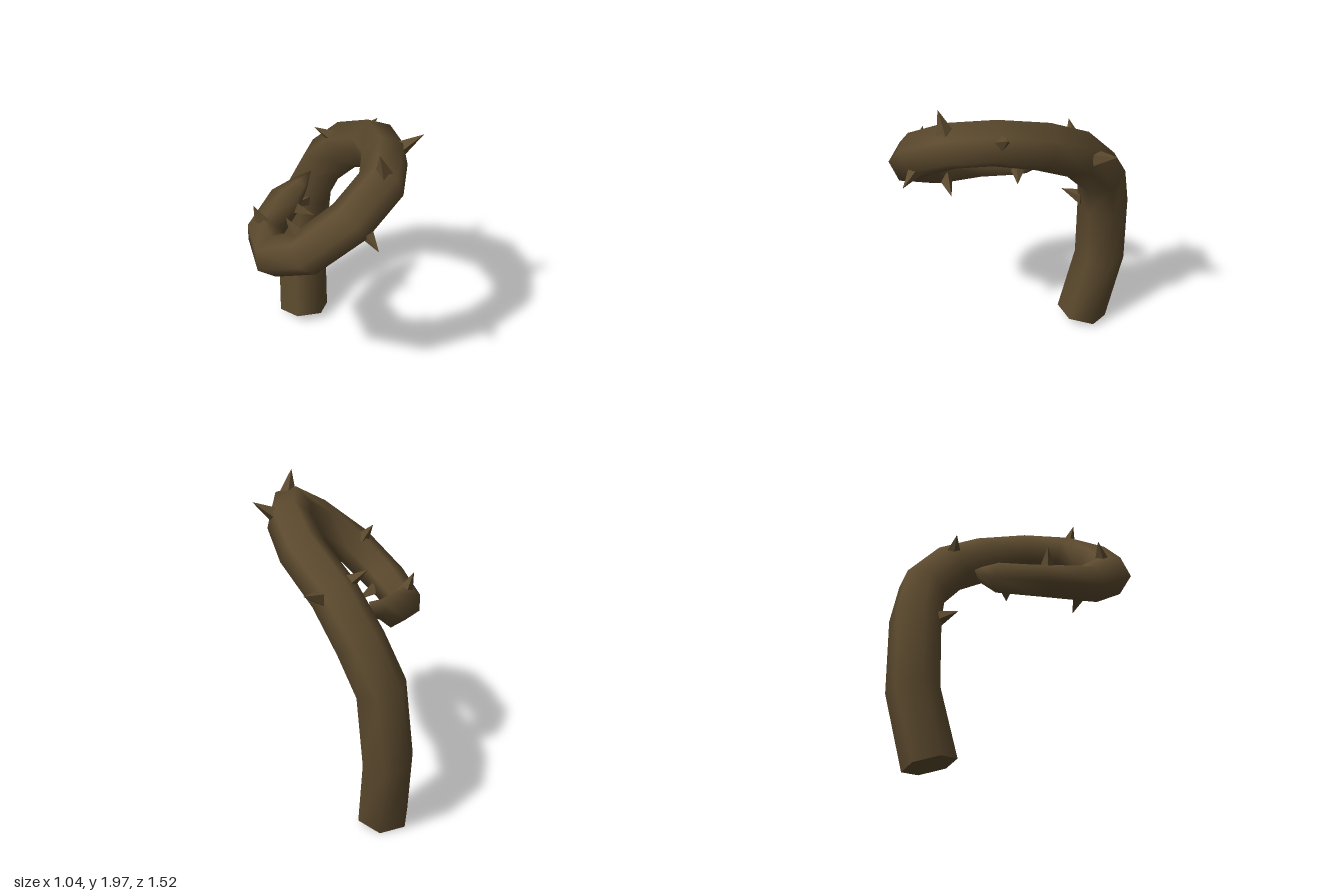
import * as THREE from 'three';

const SIDES = 6;

// Centre line of the vine: x, y, z, radius
const RINGS = [
  [-0.25, 0.065, -0.49, 0.166], [-0.265, 0.52, -0.6, 0.163], [-0.22, 0.99, -0.597, 0.16],
  [-0.1, 1.265, -0.555, 0.155], [0.045, 1.5, -0.38, 0.15], [0.225, 1.68, -0.14, 0.147],
  [0.3, 1.77, 0.15, 0.14], [0.29, 1.765, 0.405, 0.14], [0.125, 1.625, 0.58, 0.138],
  [-0.12, 1.425, 0.625, 0.135], [-0.33, 1.25, 0.455, 0.125], [-0.42, 1.205, 0.175, 0.11],
  [-0.315, 1.265, -0.085, 0.105], [-0.23, 1.325, -0.185, 0.055],
];
const TIP = new THREE.Vector3(-0.165, 1.39, -0.238);

// Thorns: foot on the bark, then point
const THORNS = [
  [[0.3, 1.88, 0.44], [0.28, 2.0, 0.47]],
  [[0.4, 1.83, 0.12], [0.52, 1.91, 0.1]],
  [[0.14, 1.525, -0.49], [0.23, 1.575, -0.585]],
  [[0.22, 1.57, 0.61], [0.295, 1.5, 0.69]],
  [[-0.24, 1.01, -0.45], [-0.325, 1.02, -0.345]],
  [[-0.05, 1.575, -0.36], [-0.15, 1.64, -0.35]],
  [[-0.18, 1.51, 0.565], [-0.24, 1.6, 0.535]],
  [[-0.43, 1.3, 0.18], [-0.475, 1.41, 0.18]],
  [[-0.23, 1.2, 0.405], [-0.13, 1.14, 0.38]],
  [[-0.24, 1.235, -0.05], [-0.13, 1.2, -0.035]],
];

// Hexagonal cross-sections carried along the centre line without twisting
function crossSections() {
  const pts = RINGS.map(r => new THREE.Vector3(r[0], r[1], r[2]));
  const path = [...pts, TIP];
  const normal = new THREE.Vector3(-0.17, 0, 0.98);
  return pts.map((p, i) => {
    const ahead = path[i + 1].clone().sub(p).normalize();
    const tangent = ahead.clone();
    if (i > 0) tangent.add(p.clone().sub(path[i - 1]).normalize()).normalize();
    normal.addScaledVector(tangent, -normal.dot(tangent)).normalize();
    const binormal = tangent.clone().cross(normal);
    return Array.from({ length: SIDES }, (_, j) => {
      const a = (j / SIDES) * Math.PI * 2;
      return p.clone()
        .addScaledVector(normal, Math.cos(a) * RINGS[i][3])
        .addScaledVector(binormal, Math.sin(a) * RINGS[i][3]);
    });
  });
}

function makeGeometry(points, index) {
  const g = new THREE.BufferGeometry().setFromPoints(points);
  g.setIndex(index);
  g.computeVertexNormals();
  return g;
}

export function createModel() {
  const group = new THREE.Group();
  group.name = 'thornyVine';
  const bark = new THREE.MeshStandardMaterial({ color: 0x5c4a2e });
  bark.name = 'brown bark';

  const add = (geometry, name) => {
    const mesh = new THREE.Mesh(geometry, bark);
    mesh.name = name;
    group.add(mesh);
    return mesh;
  };

  // Curling stem, closed to a point
  const sections = crossSections();
  const last = sections.length - 1;
  const index = [];
  for (let i = 0; i <= last; i++) {
    for (let j = 0; j < SIDES; j++) {
      const k = (j + 1) % SIDES;
      const a = i * SIDES + j, b = i * SIDES + k;
      if (i < last) index.push(a, b, b + SIDES, a, b + SIDES, a + SIDES);
      else index.push(a, b, sections.length * SIDES);
    }
  }
  add(makeGeometry([...sections.flat(), TIP], index), 'stem');

  // Cut face at the foot
  const capIndex = [];
  for (let j = 1; j < SIDES - 1; j++) capIndex.push(0, j + 1, j);
  add(makeGeometry(sections[0], capIndex), 'cutEnd');

  // Four-sided thorns, sunk slightly into the bark
  const up = new THREE.Vector3(0, 1, 0);
  THORNS.forEach(([foot, point], i) => {
    const tip = new THREE.Vector3(...point);
    const dir = tip.clone().sub(new THREE.Vector3(...foot));
    const length = dir.length() + 0.025;
    dir.normalize();
    const cone = new THREE.ConeGeometry(0.052, length, 4).toNonIndexed();
    cone.computeVertexNormals();
    const thorn = add(cone, 'thorn' + (i + 1));
    thorn.quaternion.setFromUnitVectors(up, dir);
    thorn.position.copy(tip).addScaledVector(dir, -length / 2);
  });

  return group;
}
